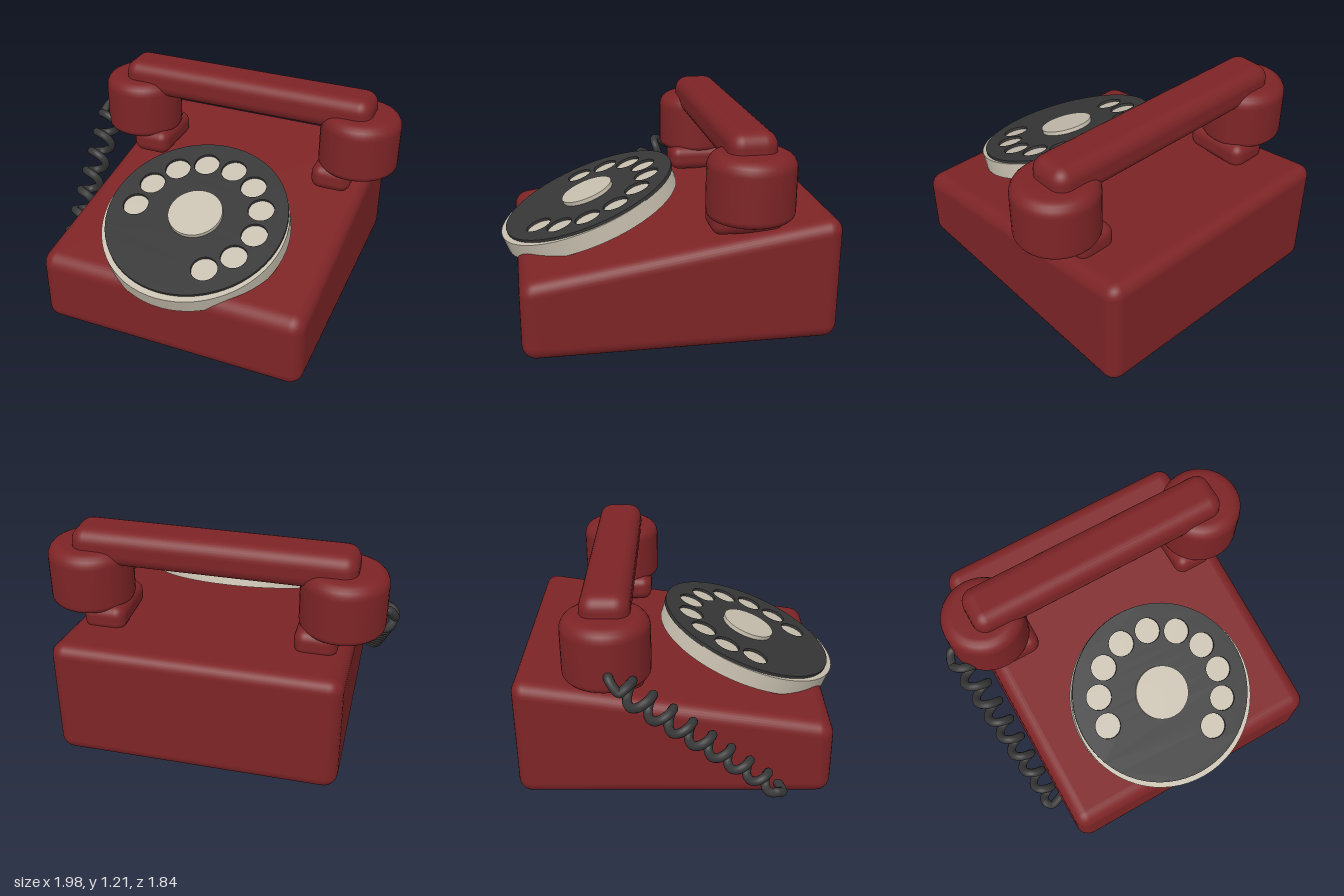
import * as THREE from 'three';
import { RoundedBoxGeometry } from 'three/addons/geometries/RoundedBoxGeometry.js';

const red = new THREE.MeshStandardMaterial({ color: 0x7d2426 });
red.name = 'dark red';
const beige = new THREE.MeshStandardMaterial({ color: 0xc6beae });
beige.name = 'warm beige';
const black = new THREE.MeshStandardMaterial({ color: 0x363636 });
black.name = 'soft black';

const CX = 0.038; // centre line of the body
const HZ = -0.4;  // depth of the handset

function add(parent, name, geometry, material, x = 0, y = 0, z = 0) {
  const mesh = new THREE.Mesh(geometry, material);
  mesh.name = name;
  mesh.position.set(x, y, z);
  parent.add(mesh);
  return mesh;
}

// Rounded box whose top half is sheared so that it rises to the back
function wedge(w, h, d, radius, slope) {
  const g = new RoundedBoxGeometry(w, h, d, 4, radius);
  const p = g.attributes.position, n = g.attributes.normal;
  const v = new THREE.Vector3();
  for (let i = 0; i < p.count; i++) {
    if (p.getY(i) < 0) continue;
    p.setY(i, p.getY(i) - slope * p.getZ(i));
    v.fromBufferAttribute(n, i);
    v.z += slope * v.y;
    v.normalize();
    n.setXYZ(i, v.x, v.y, v.z);
  }
  return g;
}

// Round ear or mouth piece with soft edges
function cupGeometry(r, h, top, bottom) {
  const pts = [new THREE.Vector2(0, 0)];
  const arc = (cx, cy, rad, from) => {
    for (let i = 0; i <= 5; i++) {
      const a = from + (i / 5) * Math.PI / 2;
      pts.push(new THREE.Vector2(cx + rad * Math.cos(a), cy + rad * Math.sin(a)));
    }
  };
  arc(r - bottom, bottom, bottom, -Math.PI / 2);
  arc(r - top, h - top, top, 0);
  pts.push(new THREE.Vector2(0, h));
  return new THREE.LatheGeometry(pts, 40);
}

function makeDial() {
  const dial = new THREE.Group();
  dial.name = 'dial';
  dial.position.set(CX, 0.605, 0.397);
  dial.rotation.x = 0.367;
  add(dial, 'dialRing', new THREE.CylinderGeometry(0.543, 0.543, 0.098, 64), beige);

  // Finger wheel with ten holes
  const wheel = new THREE.Shape().absarc(0, 0, 0.53, 0, Math.PI * 2);
  for (let i = 0; i < 10; i++) {
    const a = THREE.MathUtils.degToRad(183.5 - i * 27.1);
    wheel.holes.push(new THREE.Path().absarc(
      0.374 * Math.cos(a), 0.374 * Math.sin(a), 0.075, 0, Math.PI * 2, true));
  }
  const plate = new THREE.ExtrudeGeometry(wheel, { depth: 0.022, bevelEnabled: false, curveSegments: 32 });
  plate.rotateX(-Math.PI / 2);
  add(dial, 'fingerWheel', plate, black, 0, 0.043, -0.022);
  add(dial, 'dialHub', new THREE.CylinderGeometry(0.158, 0.158, 0.05, 40), beige, 0, 0.064, -0.022);
  return dial;
}

// Coiled cord from the right cup down to the side of the body
function cordGeometry() {
  const start = new THREE.Vector3(-0.9, 0.79, -0.32);
  const end = new THREE.Vector3(-0.815, 0.1, 0.52);
  const axis = end.clone().sub(start).normalize();
  const side = new THREE.Vector3(1, 0, 0).addScaledVector(axis, -axis.x).normalize();
  const up = new THREE.Vector3().crossVectors(side, axis);
  const pts = [new THREE.Vector3(-0.86, 0.86, -0.37), new THREE.Vector3(-0.93, 0.85, -0.37)];
  const turns = 8, steps = turns * 14;
  for (let i = 0; i <= steps; i++) {
    const t = i / steps, a = Math.PI + t * turns * Math.PI * 2;
    const r = 0.062 - 0.02 * t;
    pts.push(start.clone().lerp(end, t)
      .addScaledVector(side, r * Math.cos(a))
      .addScaledVector(up, r * Math.sin(a)));
  }
  pts.push(new THREE.Vector3(-0.83, 0.08, 0.555), new THREE.Vector3(-0.74, 0.085, 0.53));
  return new THREE.TubeGeometry(new THREE.CatmullRomCurve3(pts), 420, 0.026, 10);
}

export function createModel() {
  const phone = new THREE.Group();
  phone.name = 'telephone';

  add(phone, 'body', wedge(1.59, 0.58, 1.755, 0.08, 0.152), red, CX, 0.29, -0.043);
  phone.add(makeDial());

  // Handset with a cup at each end
  const handset = new THREE.Group();
  handset.name = 'handset';
  phone.add(handset);
  add(handset, 'handle', new RoundedBoxGeometry(1.59, 0.21, 0.268, 4, 0.08), red, CX, 1.105, HZ);
  const cup = cupGeometry(0.239, 0.355, 0.075, 0.04);
  const cradle = new RoundedBoxGeometry(0.24, 0.155, 0.4, 4, 0.06);
  for (const [s, side] of [[-1, 'right'], [1, 'left']]) {
    add(handset, side + 'Cup', cup, red, CX + s * 0.72, 0.745, HZ);
    add(phone, side + 'Cradle', cradle, red, CX + s * 0.6, 0.703, HZ);
  }

  add(phone, 'cord', cordGeometry(), black);
  return phone;
}
